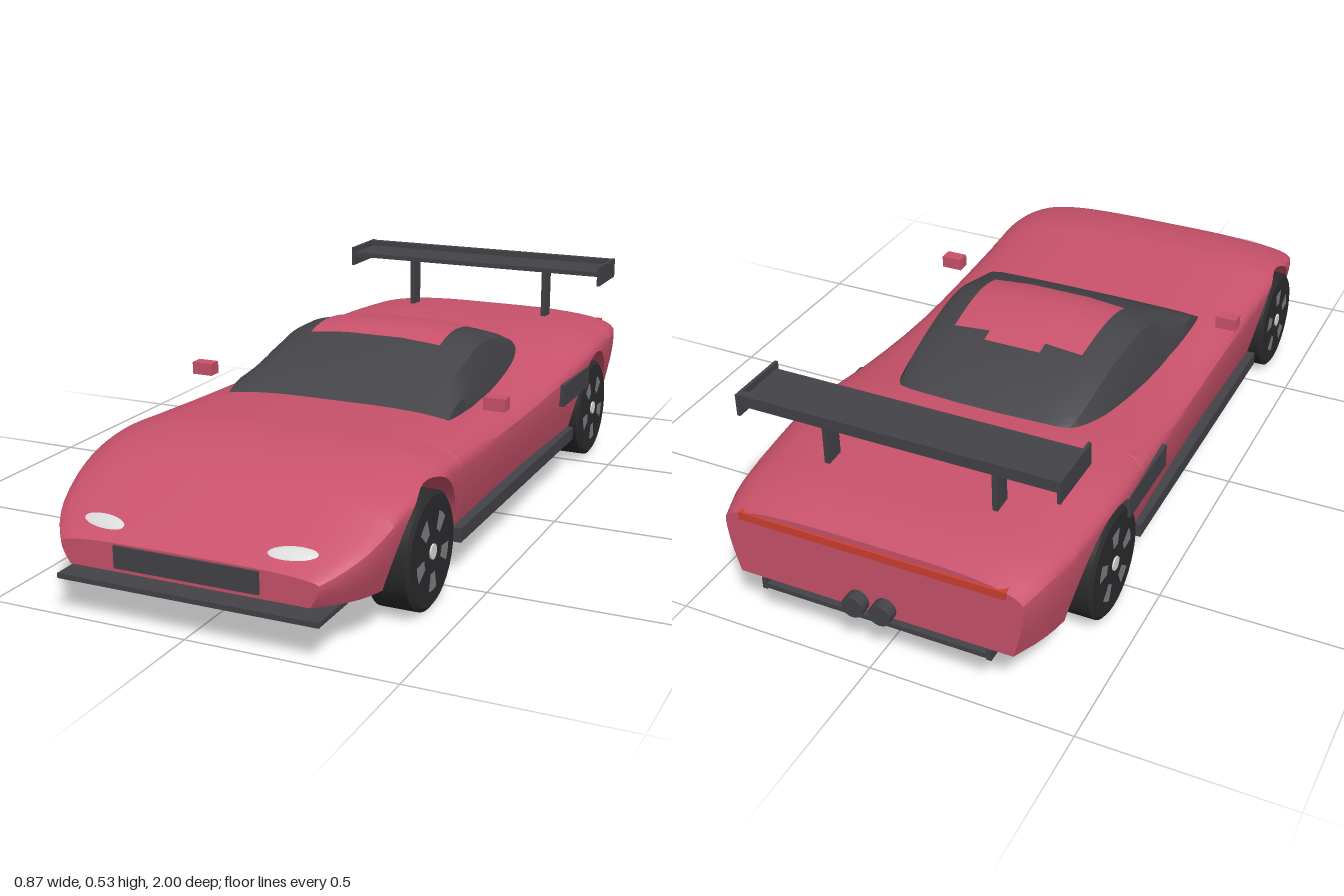
import * as THREE from 'three';
import { toCreasedNormals } from 'three/addons/utils/BufferGeometryUtils.js';

const mat = (name, color) => {
  const m = new THREE.MeshStandardMaterial({ color });
  m.name = name;
  return m;
};

// Smooth curve through [z, value] pairs listed from front to back
function curve(table) {
  const slope = (i) => {
    const a = table[Math.max(i - 1, 0)], b = table[Math.min(i + 1, table.length - 1)];
    return (b[1] - a[1]) / (b[0] - a[0]);
  };
  return (z) => {
    let i = 0;
    while (i < table.length - 2 && z < table[i + 1][0]) i++;
    const [z0, v0] = table[i], [z1, v1] = table[i + 1];
    const d = z1 - z0, t = Math.min(Math.max((z - z0) / d, 0), 1), t2 = t * t, t3 = t2 * t;
    return v0 * (2 * t3 - 3 * t2 + 1) + v1 * (3 * t2 - 2 * t3)
      + d * (slope(i) * (t3 - 2 * t2 + t) + slope(i + 1) * (t3 - t2));
  };
}

// Skin over rows of [x, y, z]; rows run front to back, points from left over the top to right
function loft(rows, closed) {
  const n = rows[0].length, pos = rows.flat(2), idx = [];
  for (let i = 0; i < rows.length - 1; i++) {
    for (let j = 0; j < (closed ? n : n - 1); j++) {
      const a = i * n + j, b = i * n + (j + 1) % n, c = a + n, d = b + n;
      idx.push(a, c, b, b, c, d);
    }
  }
  if (closed) {
    const last = (rows.length - 1) * n;
    for (let j = 1; j < n - 1; j++) idx.push(0, j, j + 1, last, last + j + 1, last + j);
  }
  const g = new THREE.BufferGeometry();
  g.setAttribute('position', new THREE.Float32BufferAttribute(pos, 3));
  g.setIndex(idx);
  return toCreasedNormals(g, 0.6);
}

const mirrorRow = (half) => [...half, ...half.slice().reverse().map(([x, y, z]) => [-x, y, z])];

// Body rules: roof line, underside and half width along z
const bodyTop = curve([[0.985, 0.187], [0.93, 0.22], [0.88, 0.248], [0.76, 0.31], [0.6, 0.343], [0.45, 0.34],
  [0.25, 0.33], [0, 0.322], [-0.25, 0.335], [-0.45, 0.36], [-0.6, 0.368], [-0.75, 0.362], [-0.88, 0.352], [-0.97, 0.33]]);
const bodyBase = curve([[0.985, 0.12], [0.8, 0.1], [0.45, 0.09], [0, 0.09], [-0.42, 0.09], [-0.78, 0.105], [-0.97, 0.14]]);
const bodyWidth = curve([[0.985, 0.315], [0.94, 0.35], [0.88, 0.38], [0.8, 0.4], [0.65, 0.418], [0.4, 0.412],
  [0, 0.408], [-0.3, 0.415], [-0.55, 0.424], [-0.75, 0.412], [-0.88, 0.395], [-0.97, 0.37]]);
const arches = [[0.625, 0.175], [-0.605, 0.18]];

function bodySection(z) {
  const top = bodyTop(z), base = bodyBase(z), w = bodyWidth(z);
  let t0 = 0;
  for (const [c, r] of arches) {
    const q = 1 - ((z - c) / r) ** 2;
    if (q > 0) t0 = Math.max(t0, (0.1 + 0.2 * Math.sqrt(q) - base) / (top - base));
  }
  const half = [], n = 18;
  for (let i = 0; i < n; i++) {
    const t = t0 + (1 - t0) * (1 - (1 - i / n) ** 2.5);
    const x = t < 0.75
      ? 0.93 + 0.07 * Math.sin(t / 0.75 * Math.PI / 2)
      : (1 - ((t - 0.75) / 0.25) ** 2) ** (1 / 3.5);
    half.push([w * x, base + (top - base) * t, z]);
  }
  return mirrorRow(half);
}

function bodyGeometry() {
  const zs = [0.985, 0.96, 0.94, 0.91, 0.88, 0.84, 0.4, 0.3, 0.2, 0.1, 0, -0.1, -0.2, -0.3, -0.37,
    -0.82, -0.86, -0.9, -0.935, -0.97];
  for (const [c, r] of arches) {
    for (let i = 0; i <= 24; i++) zs.push(c + r * Math.cos(i / 24 * Math.PI));
  }
  return loft(zs.sort((a, b) => b - a).map(bodySection), true);
}

// Cabin rules
const cabinTop = curve([[0.28, 0.305], [0.2, 0.36], [0.1, 0.412], [0, 0.451], [-0.07, 0.462], [-0.15, 0.456],
  [-0.25, 0.434], [-0.35, 0.4], [-0.46, 0.35]]);
const cabinWidth = curve([[0.28, 0.305], [0, 0.297], [-0.2, 0.285], [-0.4, 0.266], [-0.46, 0.235]]);
const cabinProfile = [[1.03, 0], [1, 0.22], [0.94, 0.55], [0.88, 0.8], [0.78, 0.89], [0.62, 0.94], [0.27, 1]];

function cabinHalf(z) {
  const top = cabinTop(z), w = cabinWidth(z), k = Math.min(Math.max((z - 0.05) / 0.2, 0), 1) * 0.9;
  return cabinProfile.map(([u, f], i) => [w * u, 0.29 + (top - 0.29) * (i ? f + (1 - f) * k : 0), z]);
}

const zRange = (a, b, n) => Array.from({ length: n + 1 }, (_, i) => a + (b - a) * i / n);

// Thin painted panel that follows the cabin from profile point `from` inward
const roofPanel = (z0, z1, from) => loft(zRange(z0, z1, 20).map((z) =>
  mirrorRow(cabinHalf(z).slice(from)).map(([x, y, zz]) => [x, y + 0.004, zz])), false);

export function createModel() {
  const car = new THREE.Group();
  car.name = 'sportsCar';
  const paint = mat('red paint', 0xc9526b);
  const trim = mat('dark trim', 0x434348);
  const rubber = mat('tyre rubber', 0x2b2b2d);
  const metal = mat('rim grey', 0x808084);
  const lamp = mat('lamp white', 0xdcdcdc);
  const tail = mat('tail light red', 0xcf4030);

  const add = (name, geo, material, x = 0, y = 0, z = 0, parent = car) => {
    const m = new THREE.Mesh(geo, material);
    m.name = name;
    m.position.set(x, y, z);
    parent.add(m);
    return m;
  };
  const box = (name, material, w, h, d, x, y, z) => add(name, new THREE.BoxGeometry(w, h, d), material, x, y, z);

  // Shell and cabin
  add('body', bodyGeometry(), paint);
  add('cabinGlass', loft(zRange(0.28, -0.46, 37).map((z) => mirrorRow(cabinHalf(z))), true), trim);
  add('roofPanel', roofPanel(0.02, -0.23, 5), paint);
  add('roofPanelTab', roofPanel(-0.23, -0.262, 6), paint);

  // Nose and tail
  box('grille', trim, 0.354, 0.052, 0.008, 0, 0.156, 0.987);
  box('frontSplitter', trim, 0.64, 0.012, 0.14, 0, 0.092, 0.93);
  box('tailLightBar', tail, 0.66, 0.02, 0.036, 0, 0.304, -0.957);
  box('diffuser', trim, 0.58, 0.012, 0.1, 0, 0.117, -0.92);

  // Rear wing
  box('wingPlate', trim, 0.79, 0.013, 0.15, 0, 0.508, -0.77);
  box('wingLip', trim, 0.79, 0.016, 0.02, 0, 0.522, -0.835);

  // Wheel geometries, axle along local y
  const tyreGeo = toCreasedNormals(new THREE.LatheGeometry([[0, -0.052], [0.127, -0.052], [0.137, -0.045],
    [0.137, 0.045], [0.127, 0.052], [0, 0.052]].map(([r, y]) => new THREE.Vector2(r, y)), 32), 0.5);
  const rimGeo = new THREE.RingGeometry(0.05, 0.092, 5, 1, -0.24, 0.48).rotateX(-Math.PI / 2);
  const hubGeo = new THREE.CylinderGeometry(0.018, 0.018, 0.006, 12);

  for (const s of [1, -1]) {
    const side = s > 0 ? 'left' : 'right';
    box(side + 'Sill', trim, 0.03, 0.035, 0.87, s * 0.4, 0.107, 0.015);
    box(side + 'SideIntake', trim, 0.03, 0.06, 0.23, s * 0.411, 0.25, -0.405);
    box(side + 'Mirror', paint, 0.056, 0.032, 0.036, s * 0.406, 0.36, 0.2);
    box(side + 'WingEndPlate', trim, 0.008, 0.055, 0.16, s * 0.394, 0.503, -0.768);
    box(side + 'WingSupport', trim, 0.013, 0.16, 0.048, s * 0.213, 0.428, -0.76);
    box(side + 'DiffuserFin', trim, 0.012, 0.03, 0.1, s * 0.285, 0.122, -0.92);

    // Headlight seated in the sloping nose
    const light = add(side + 'Headlight', new THREE.SphereGeometry(1, 24, 12), lamp, s * 0.235, 0.206, 0.932);
    light.scale.set(0.07, 0.012, 0.026);
    light.rotation.set(0.5, s * 0.15, -s * 0.06);

    add(side + 'Exhaust', new THREE.CylinderGeometry(0.027, 0.027, 0.06, 20).rotateX(Math.PI / 2),
      trim, s * 0.034, 0.163, -0.97);

    for (const [end, z] of [['Front', 0.635], ['Rear', -0.59]]) {
      const wheel = new THREE.Group();
      wheel.name = side + end + 'Wheel';
      wheel.position.set(s * 0.367, 0.137, z);
      wheel.rotation.z = -s * Math.PI / 2;
      car.add(wheel);
      add('tyre', tyreGeo, rubber, 0, 0, 0, wheel);
      add('hub', hubGeo, lamp, 0, 0.053, 0, wheel);
      for (let i = 0; i < 5; i++) {
        add('rimSegment', rimGeo, metal, 0, 0.0535, 0, wheel).rotation.y = i / 5 * Math.PI * 2;
      }
    }
  }
  return car;
}
